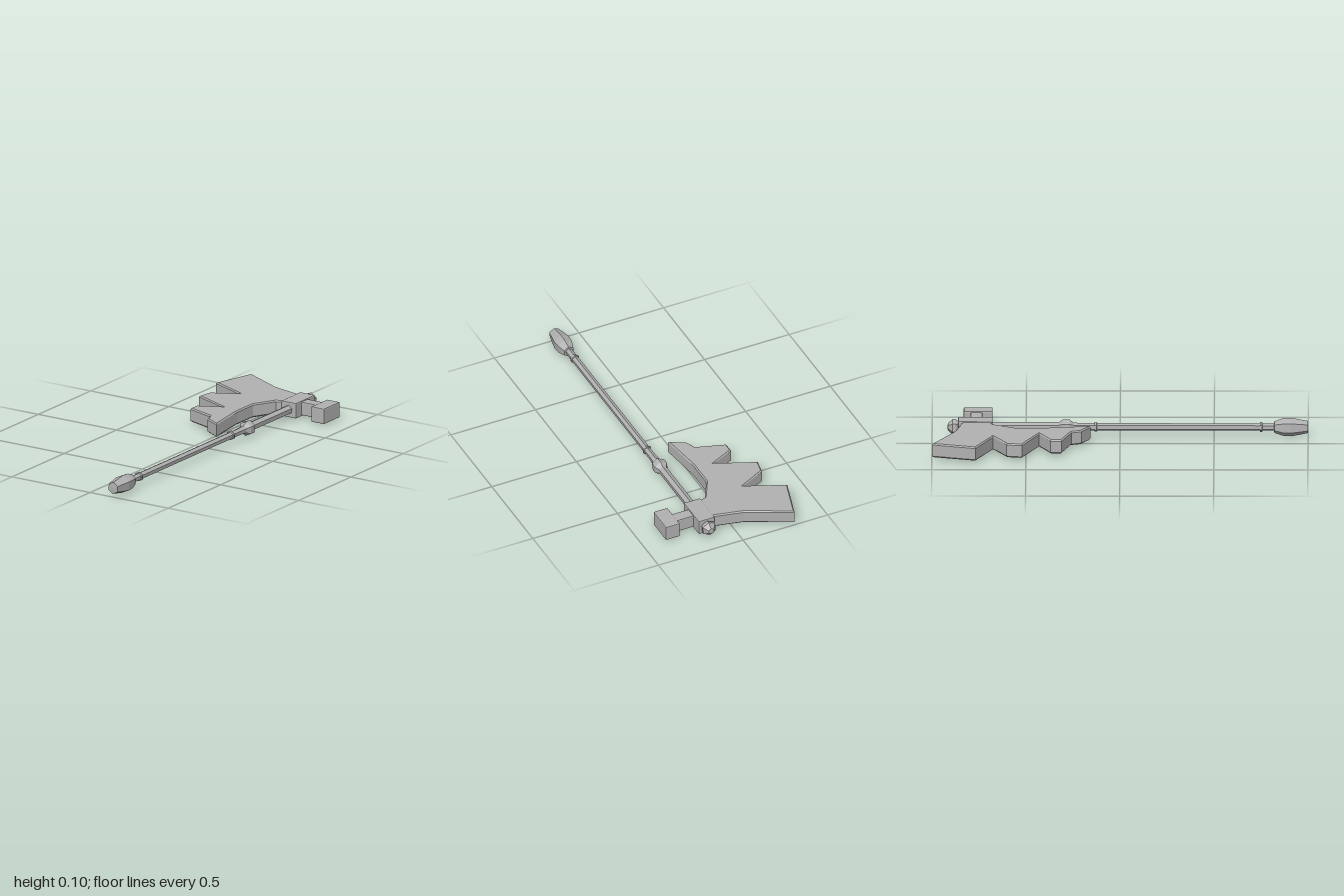
import * as THREE from 'three';
import { RoundedBoxGeometry } from 'three/addons/geometries/RoundedBoxGeometry.js';

const AXIS_X = 0.146, AXIS_Y = 0.053;

export function createModel() {
  const group = new THREE.Group();
  group.name = 'battleAxe';
  const stone = new THREE.MeshStandardMaterial({ color: 0xb0b0b0 });
  stone.name = 'plainGrey';

  // Flat facets for every part
  const add = (name, geometry) => {
    const flat = geometry.index ? geometry.toNonIndexed() : geometry;
    flat.computeVertexNormals();
    const mesh = new THREE.Mesh(flat, stone);
    mesh.name = name;
    group.add(mesh);
    return mesh;
  };

  // Six-sided turned part along z; profile is [radius, z] pairs, z ascending
  const turned = (name, profile) => {
    const pts = profile.map(([r, z]) => new THREE.Vector2(r, z));
    const geometry = new THREE.LatheGeometry(pts, 6);
    geometry.rotateX(Math.PI / 2).rotateZ(-0.1);
    add(name, geometry).position.set(AXIS_X, AXIS_Y, 0);
  };

  // Box with chamfered edges, given by its extents
  const block = (name, [x0, x1], [y0, y1], [z0, z1]) => {
    const geometry = new RoundedBoxGeometry(x1 - x0, y1 - y0, z1 - z0, 1, 0.006);
    add(name, geometry).position.set((x0 + x1) / 2, (y0 + y1) / 2, (z0 + z1) / 2);
  };

  // Jagged blade, outline in x and z
  const outline = [
    [-0.305, -1], [-0.065, -0.88], [0.12, -0.837], [0.12, -0.69], [0.068, -0.675],
    [0.002, -0.555], [0.002, -0.4], [0.035, -0.157], [-0.055, -0.205], [-0.075, -0.258],
    [-0.235, -0.31], [-0.235, -0.37], [-0.103, -0.43], [-0.32, -0.52], [-0.305, -0.603],
    [-0.157, -0.675], [-0.375, -0.767],
  ];
  const bevel = 0.007;
  const blade = new THREE.ExtrudeGeometry(
    new THREE.Shape(outline.map(([x, z]) => new THREE.Vector2(x, z))),
    { depth: 0.076 - 2 * bevel, bevelThickness: bevel, bevelSize: bevel, bevelOffset: -bevel, bevelSegments: 1 },
  );
  blade.rotateX(Math.PI / 2);
  add('blade', blade).position.y = 0.091 - bevel;

  // Head socket and rear hammer
  block('headSocket', [0.099, 0.195], [0.01, 0.096], [-0.862, -0.678]);
  block('hammerNeck', [0.18, 0.305], [0.015, 0.09], [-0.796, -0.732]);
  block('hammerHead', [0.291, 0.374], [0.01, 0.096], [-0.832, -0.678]);

  // Finial beyond the socket
  turned('finial', [[0, -0.918], [0.018, -0.916], [0.042, -0.89], [0.042, -0.876], [0.027, -0.855]]);

  // Shaft, thicker under the head
  turned('upperShaft', [[0.025, -0.7], [0.025, -0.31]]);
  turned('shaftBead', [[0.024, -0.326], [0.041, -0.304], [0.041, -0.27], [0.024, -0.248]]);
  turned('shaftTaper', [[0.025, -0.26], [0.02, -0.2], [0.02, -0.12]]);
  turned('lowerShaft', [[0.02, -0.14], [0.02, 0.84]]);

  // Thin collars on the grip
  for (const [name, z] of [['upperCollar', -0.13], ['lowerCollar', 0.75]]) {
    turned(name, [[0.018, z - 0.008], [0.026, z - 0.005], [0.026, z + 0.005], [0.018, z + 0.008]]);
  }

  // Pommel
  turned('pommel', [[0, 0.818], [0.031, 0.82], [0.047, 0.865], [0.05, 0.91], [0.033, 0.998], [0, 1]]);

  return group;
}
